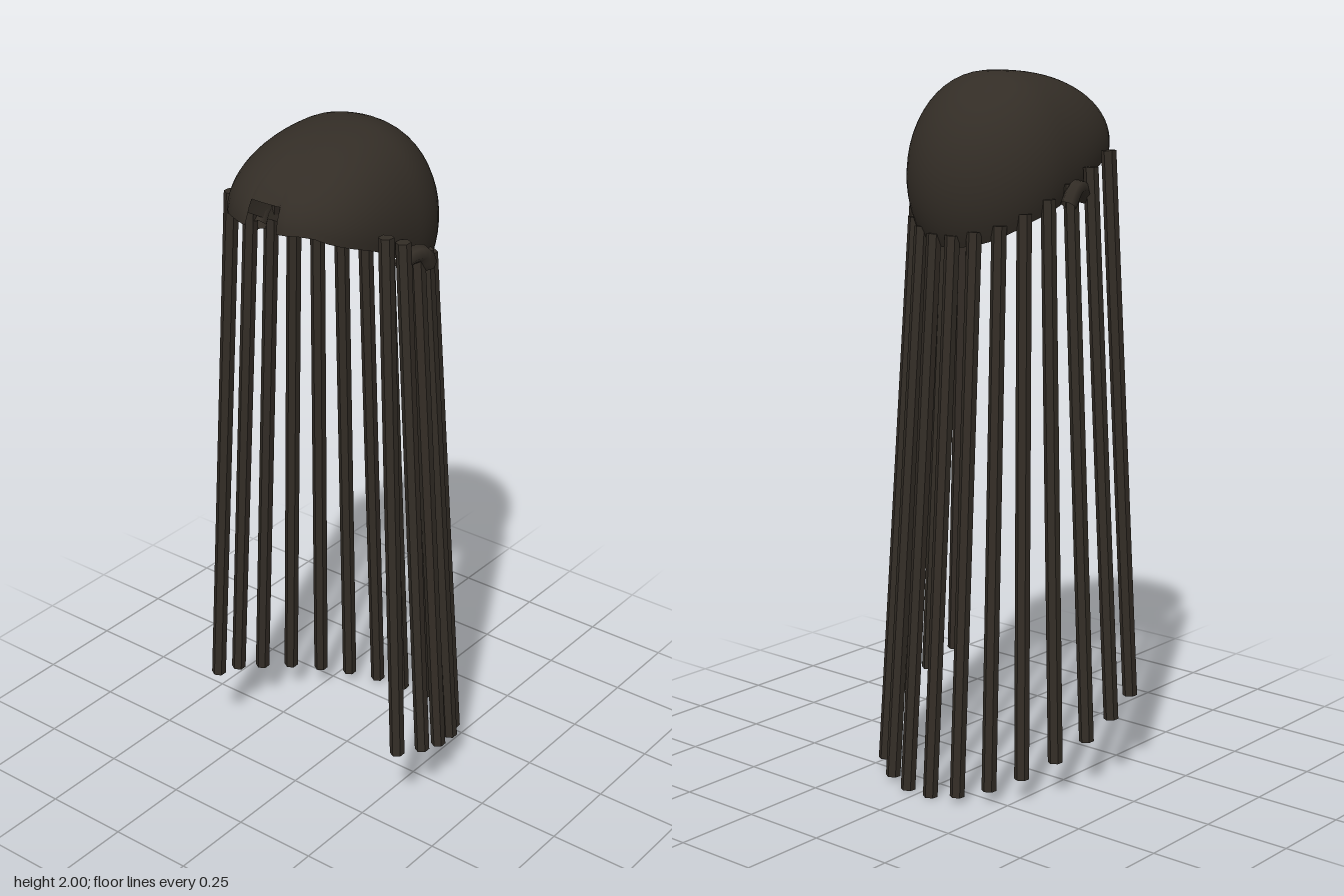
import * as THREE from 'three';

const hair = new THREE.MeshStandardMaterial({ color: 0x332d26, side: THREE.DoubleSide });
const hairFlat = new THREE.MeshStandardMaterial({ color: 0x332d26, flatShading: true });

// Height of the cap's lower edge, as [z, y] steps from back to front
const RIM = [[-0.26, 1.535], [-0.2, 1.56], [-0.1, 1.61], [0, 1.645], [0.09, 1.69], [0.17, 1.735], [0.28, 1.775], [0.33, 1.805], [0.37, 1.8]];

function rimHeight(z) {
  for (let i = 1; i < RIM.length; i++) {
    const [z0, y0] = RIM[i - 1], [z1, y1] = RIM[i];
    if (z <= z1) return THREE.MathUtils.lerp(y0, y1, Math.max(0, (z - z0) / (z1 - z0)));
  }
  return RIM[RIM.length - 1][1];
}

// Domed cap: meridians run from the crown to the slanted rim, with a notch in the fringe
function makeCap() {
  const angles = [];
  for (let d = 0; d < 360; d += 6) angles.push(d);
  angles.push(81.8, 82.2, 97.8, 98.2);
  angles.sort((a, b) => a - b);
  const rows = 18, pos = [], idx = [];
  angles.forEach((deg) => {
    const a = THREE.MathUtils.degToRad(deg), c = Math.cos(a), s = Math.sin(a);
    const front = s > 0, n = front ? 2.5 : 2;
    const R = Math.pow(Math.pow(Math.abs(c) / 0.24, n) + Math.pow(Math.abs(s) / (front ? 0.362 : 0.258), n), -1 / n);
    const mid = 1.75 + 0.05 * s, h = 2 - mid;
    const rim = deg > 82 && deg < 98 ? 1.868 : rimHeight(R * s);
    const end = Math.acos((rim - mid) / h);
    const bulge = 1 - 0.2 * c * c;
    for (let j = 0; j <= rows; j++) {
      const t = (end * j) / rows;
      const r = R * Math.pow(Math.sin(t), bulge);
      pos.push(r * c, mid + h * Math.cos(t), r * s);
    }
  });
  const w = rows + 1;
  for (let i = 0; i < angles.length; i++) {
    const k = (i + 1) % angles.length;
    for (let j = 0; j < rows; j++) {
      const p = i * w + j, q = k * w + j;
      if (j > 0) idx.push(p, q, p + 1);
      idx.push(q, q + 1, p + 1);
    }
  }
  const g = new THREE.BufferGeometry();
  g.setAttribute('position', new THREE.Float32BufferAttribute(pos, 3));
  g.setIndex(idx);
  g.computeVertexNormals();
  // All meridians share one straight-up normal at the crown
  for (let i = 0; i < angles.length; i++) g.attributes.normal.setXYZ(i * w, 0, 1, 0);
  return new THREE.Mesh(g, hair);
}

// Six-sided rod between two points
function rod(top, bottom, radius) {
  const dir = top.clone().sub(bottom);
  const m = new THREE.Mesh(new THREE.CylinderGeometry(radius, radius, dir.length(), 6), hairFlat);
  m.position.copy(top).add(bottom).multiplyScalar(0.5);
  m.quaternion.setFromUnitVectors(new THREE.Vector3(0, 1, 0), dir.normalize());
  return m;
}

// Strands on one side, front to back: top x, y, z then bottom x, y, z
const STRANDS = [
  [0.258, 1.785, 0.17, 0.335, 0.225, 0.198],
  [0.256, 1.745, 0.093, 0.347, 0.185, 0.093],
  [0.246, 1.705, 0.018, 0.335, 0.143, -0.005],
  [0.225, 1.668, -0.052, 0.305, 0.103, -0.108],
  [0.193, 1.632, -0.115, 0.255, 0.067, -0.195],
  [0.15, 1.602, -0.168, 0.195, 0.039, -0.265],
  [0.094, 1.585, -0.205, 0.121, 0.018, -0.315],
  [0.033, 1.572, -0.224, 0.042, 0.005, -0.339],
];

export function createModel() {
  const model = new THREE.Group();
  model.name = 'hair';

  const cap = makeCap();
  cap.name = 'hairCap';
  model.add(cap);

  for (const side of [1, -1]) {
    const label = side > 0 ? 'left' : 'right';

    // Long hanging strands
    const strands = new THREE.Group();
    strands.name = label + 'Strands';
    STRANDS.forEach(([tx, ty, tz, bx, by, bz], i) => {
      const s = rod(new THREE.Vector3(side * tx, ty, tz), new THREE.Vector3(side * bx, by, bz), 0.021);
      s.name = label + 'Strand' + (i + 1);
      strands.add(s);
    });
    model.add(strands);

    // Short curled lock over the ear
    const path = new THREE.CatmullRomCurve3([[0.238, 1.665, 0.085], [0.25, 1.69, 0.055], [0.262, 1.69, 0.015], [0.262, 1.65, -0.012]]
      .map(([x, y, z]) => new THREE.Vector3(side * x, y, z)));
    const lock = new THREE.Mesh(new THREE.TubeGeometry(path, 8, 0.024, 6), hair);
    lock.name = label + 'EarLock';
    model.add(lock);
  }
  return model;
}
